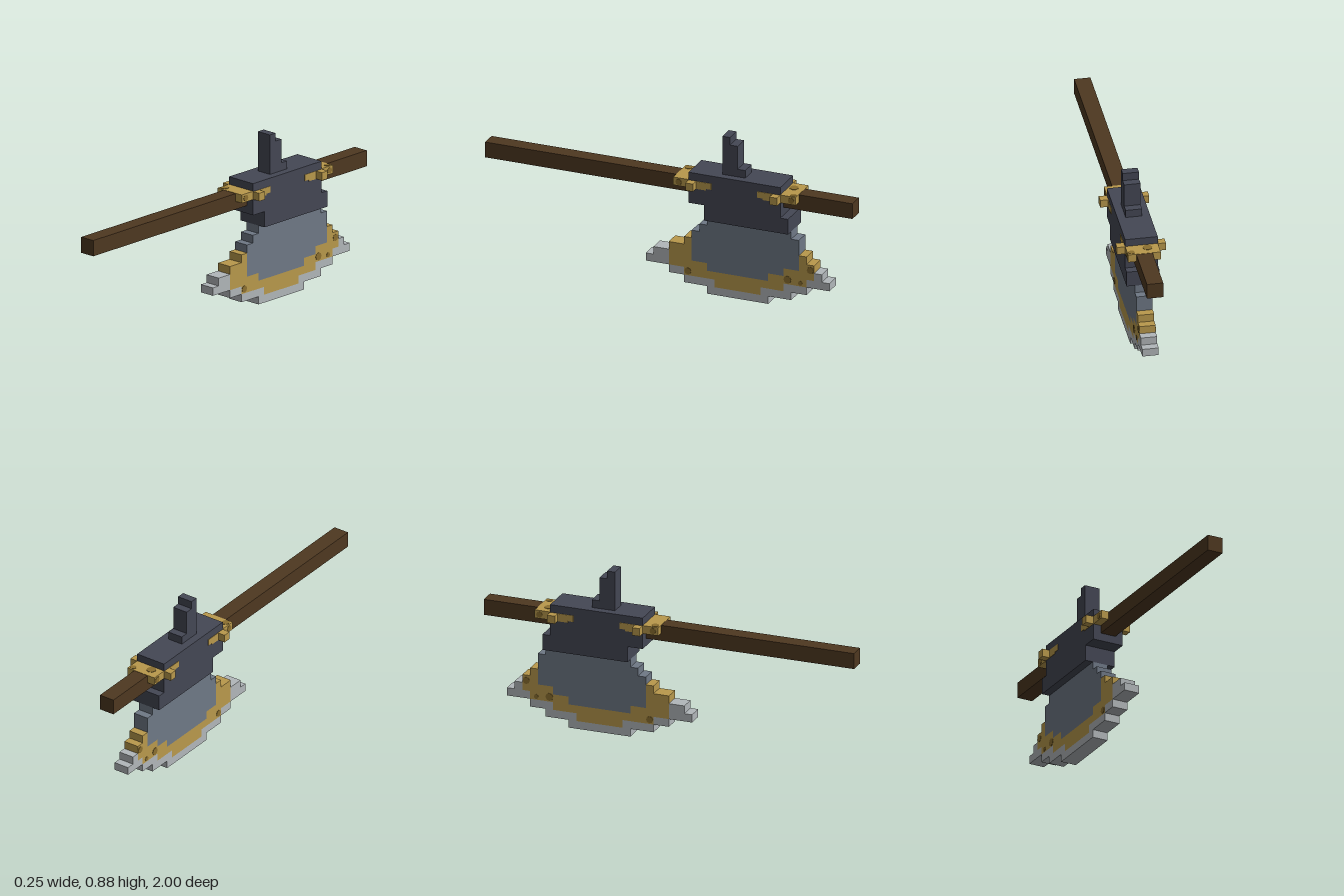
import * as THREE from 'three';

const U = 1 / 24; // size of one block

const mat = (name, color) => {
  const m = new THREE.MeshStandardMaterial({ color });
  m.name = name;
  return m;
};

export function createModel() {
  const root = new THREE.Group();
  root.name = 'blockAxe';
  const wood = mat('darkWood', 0x4e3820);
  const iron = mat('darkIron', 0x444754);
  const slate = mat('slateSteel', 0x6f7986);
  const gold = mat('gold', 0xb9994c);
  const oldGold = mat('tarnishedGold', 0x8c7030);
  const silver = mat('silverEdge', 0xb2b7ba);

  // Box from its limits, in blocks
  const block = (parent, name, m, x0, x1, y0, y1, z0, z1) => {
    const g = new THREE.BoxGeometry((x1 - x0) * U, (y1 - y0) * U, Math.abs(z1 - z0) * U);
    const mesh = new THREE.Mesh(g, m);
    mesh.position.set((x0 + x1) * U / 2, (y0 + y1) * U / 2, (z0 + z1) * U / 2);
    mesh.name = name;
    parent.add(mesh);
    return mesh;
  };
  const group = (name) => {
    const g = new THREE.Group();
    g.name = name;
    root.add(g);
    return g;
  };

  block(root, 'handle', wood, -1, 1, 13, 15, -24, 24);

  // Head that wraps the handle
  const head = group('head');
  block(head, 'headUpper', iron, -2, 2, 12, 16, -15, -3);
  block(head, 'headLower', iron, -2, 2, 10, 12, -16, -5);

  // Stepped spike on top
  const spike = group('topSpike');
  [[21, -7], [20, -8], [17, -9]].forEach(([top, z]) =>
    block(spike, 'spikeStep', iron, -1, 1, 16, top, z - 1, z));

  // Blade rows, bottom to top: front limit, then [material, back limit] runs
  const blade = group('blade');
  const rows = [
    [-5, [silver, -13]],
    [-2, [silver, -6], [gold, -12], [silver, -16]],
    [0, [silver, -2], [gold, -15], [silver, -18]],
    [3, [silver, 0], [gold, -5], [slate, -13], [gold, -18], [silver, -21]],
    [2, [silver, 0], [gold, -3], [slate, -15], [gold, -19], [silver, -20]],
    [0, [gold, -3], [slate, -17], [gold, -19]],
    [-2, [gold, -3], [slate, -17], [gold, -18]],
    [-3, [slate, -17]],
    [-4, [slate, -17]],
    [-5, [slate, -16]],
  ];
  const rowName = new Map([[silver, 'cuttingEdge'], [gold, 'goldInlay'], [slate, 'bladeBody']]);
  rows.forEach(([front, ...runs], y) => {
    let z = front;
    for (const [m, end] of runs) {
      block(blade, rowName.get(m), m, -1, 1, y, y + 1, end, z);
      z = end;
    }
  });

  // Gold collars at both ends of the head, mirrored about its middle (z = -9)
  const collars = group('collars');
  for (const d of [1, -1]) {
    const z = (k) => -9 + d * k;
    block(collars, 'collar', gold, -2, 2, 14, 15.04, z(6), z(8));
    for (const s of [-1, 1]) {
      const side = (name, a, b, y0, y1, k0, k1) =>
        block(collars, name, gold, Math.min(s * a, s * b), Math.max(s * a, s * b), y0, y1, z(k0), z(k1));
      side('collarLug', 2, 3, 14, 15, 5, 6);
      side('collarInlay', 2, 2.06, 14, 15, 3.7, 5);
      side('collarInlayTip', 2, 2.06, 14.2, 15, 3, 3.7);
    }
  }

  // Tarnish spots: thin discs facing sideways (x) or upwards (y)
  const spots = group('tarnish');
  const disc = (x, y, z, r, up) => {
    const mesh = new THREE.Mesh(new THREE.CylinderGeometry(r * U, r * U, 0.004, 8), oldGold);
    if (!up) mesh.rotation.z = Math.PI / 2;
    mesh.position.set(x * U, y * U, z * U);
    mesh.name = 'tarnishSpot';
    spots.add(mesh);
  };
  for (const s of [-1, 1]) {
    [[2.55, -2.5, 0.45], [5.3, -18.5, 0.45], [3.6, -15.5, 0.5], [3.4, -17.2, 0.3]]
      .forEach(([y, z, r]) => disc(s, y, z, r, false));
    [[14.5, -1.7], [14.5, -16.4]].forEach(([y, z]) => disc(s * 2, y, z, 0.4, false));
  }
  [[-0.6, -15.7, 0.6], [1.5, -16.5, 0.4], [-1.4, -1.6, 0.5]]
    .forEach(([x, z, r]) => disc(x, 15.04, z, r, true));

  return root;
}
